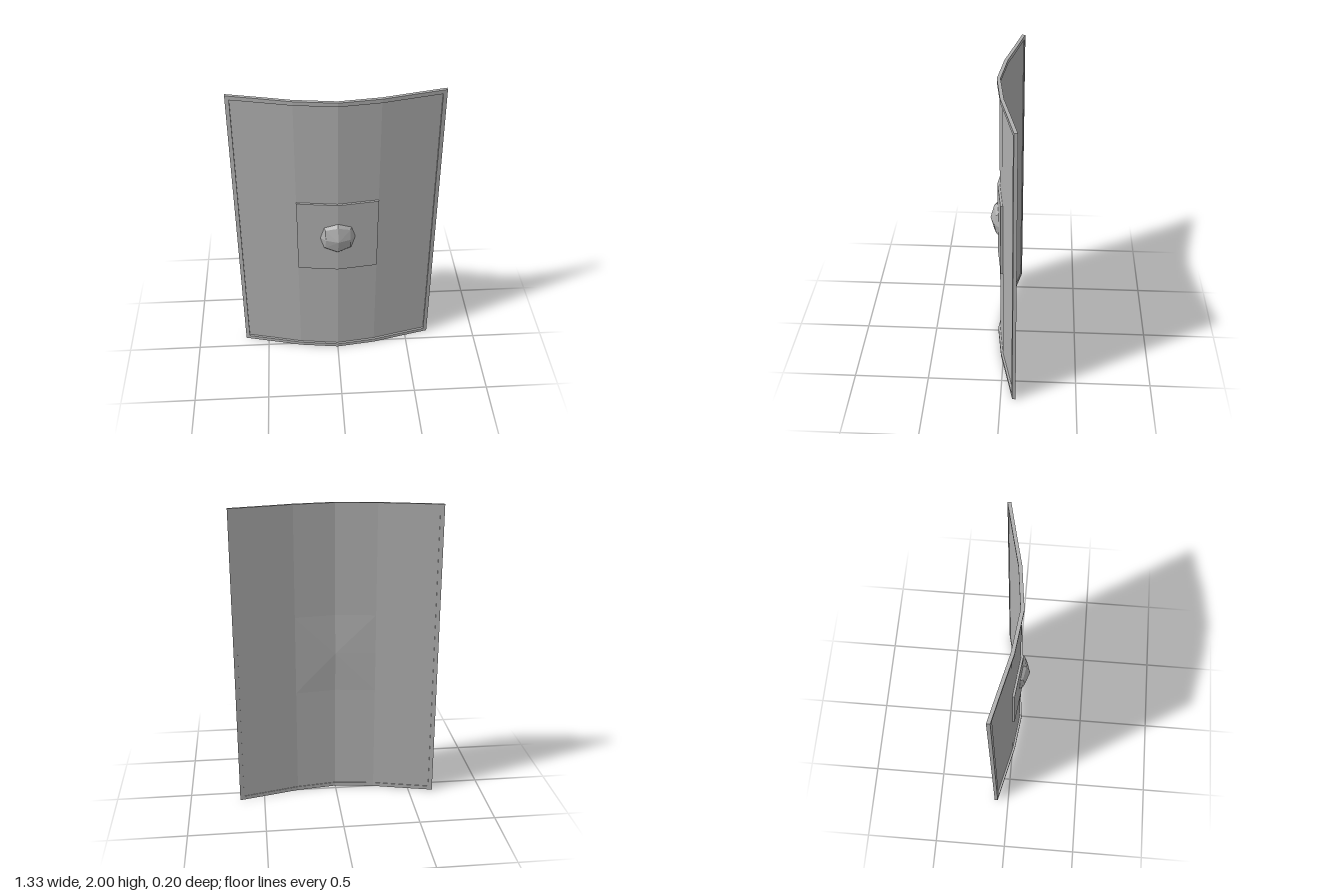
import * as THREE from 'three';

// Front curve of the shield seen from above: [x, z], mirrored for -x
const CURVE = [[0, 0.05], [0.265, 0.017], [0.46, -0.03], [0.665, -0.078]];
const HALF_W = 0.665, HEIGHT = 2, RIM = 0.026, PLATE = 0.265;

function frontZ(x) {
  const a = Math.abs(x);
  for (let i = 1; i < CURVE.length; i++) {
    const [x0, z0] = CURVE[i - 1], [x1, z1] = CURVE[i];
    if (a <= x1 + 1e-6) return z0 + (z1 - z0) * (a - x0) / (x1 - x0);
  }
  return CURVE[CURVE.length - 1][1];
}

// Slab that follows the curve between x0..x1 and y0..y1; near/far are z offsets from the curve
function curvedSlab(x0, x1, y0, y1, near, far) {
  const knots = CURVE.flatMap(([x]) => (x ? [x, -x] : [0]));
  const xs = [x0, ...knots.filter((x) => x > x0 + 1e-4 && x < x1 - 1e-4).sort((a, b) => a - b), x1];
  const outline = [
    ...xs.map((x) => new THREE.Vector2(x, -frontZ(x) - near)),
    ...xs.slice().reverse().map((x) => new THREE.Vector2(x, -frontZ(x) - far)),
  ];
  const geo = new THREE.ExtrudeGeometry(new THREE.Shape(outline), { depth: y1 - y0, bevelEnabled: false });
  return geo.rotateX(-Math.PI / 2).translate(0, y0, 0);
}

// Flat-shaded geometry from a list of triangles of [x, y, z] corners
function facets(triangles) {
  const geo = new THREE.BufferGeometry();
  geo.setAttribute('position', new THREE.Float32BufferAttribute(triangles.flat(2), 3));
  geo.computeVertexNormals();
  return geo;
}

// Faceted dome: outer octagon, raised inner octagon, central point
function bossGeometry() {
  const ring = (top, diagX, diagY, side, zTop, zDiag, zSide) => [
    [side, 0, zSide], [diagX, diagY, zDiag], [0, top, zTop], [-diagX, diagY, zDiag],
    [-side, 0, zSide], [-diagX, -diagY, zDiag], [0, -top, zTop], [diagX, -diagY, zDiag],
  ].map(([x, y, z]) => [x, y + 1, z]);
  const outer = ring(0.12, 0.092, 0.085, 0.12, 0.045, 0.034, 0.03);
  const inner = ring(0.096, 0.082, 0.07, 0.08, 0.072, 0.055, 0.07);
  const tip = [0, 1, 0.097];
  const tris = [];
  for (let i = 0; i < 8; i++) {
    const j = (i + 1) % 8;
    tris.push([outer[i], outer[j], inner[j]], [outer[i], inner[j], inner[i]], [inner[i], inner[j], tip]);
  }
  return facets(tris);
}

// Shallow swelling behind the centre plate
function backSwellGeometry() {
  const xs = [-PLATE, 0, PLATE], ys = [1 - PLATE, 1, 1 + PLATE];
  const point = (i, j) => {
    const offset = j === 1 ? (i === 1 ? -0.03 : -0.02) : -0.0185;
    return [xs[i], ys[j], frontZ(xs[i]) + offset];
  };
  const tris = [];
  for (let i = 0; i < 2; i++) {
    for (let j = 0; j < 2; j++) {
      const a = point(i, j), b = point(i + 1, j), c = point(i + 1, j + 1), d = point(i, j + 1);
      if (i === j) tris.push([a, c, b], [a, d, c]);
      else tris.push([a, d, b], [b, d, c]);
    }
  }
  return facets(tris);
}

export function createModel() {
  const shield = new THREE.Group();
  shield.name = 'shield';
  const grey = new THREE.MeshStandardMaterial({ color: 0xb0b0b0 });
  grey.name = 'grey';
  const add = (name, geo, parent = shield) => {
    const mesh = new THREE.Mesh(geo, grey);
    mesh.name = name;
    parent.add(mesh);
  };

  // Thin panel, recessed behind the rim on both sides
  const inX = HALF_W - RIM;
  add('panel', curvedSlab(-inX, inX, RIM, HEIGHT - RIM, -0.015, -0.018));

  // Raised rim
  const rim = new THREE.Group();
  rim.name = 'rim';
  shield.add(rim);
  add('bottomRim', curvedSlab(-HALF_W, HALF_W, 0, RIM, 0, -0.022), rim);
  add('topRim', curvedSlab(-HALF_W, HALF_W, HEIGHT - RIM, HEIGHT, 0, -0.022), rim);
  add('leftRim', curvedSlab(inX, HALF_W, RIM, HEIGHT - RIM, 0, -0.022), rim);
  add('rightRim', curvedSlab(-HALF_W, -inX, RIM, HEIGHT - RIM, 0, -0.022), rim);

  // Centre plate, boss and swelling on the back
  add('centrePlate', curvedSlab(-PLATE, PLATE, 1 - PLATE, 1 + PLATE, 0, -0.017));
  add('boss', bossGeometry());
  add('backSwell', backSwellGeometry());

  return shield;
}
